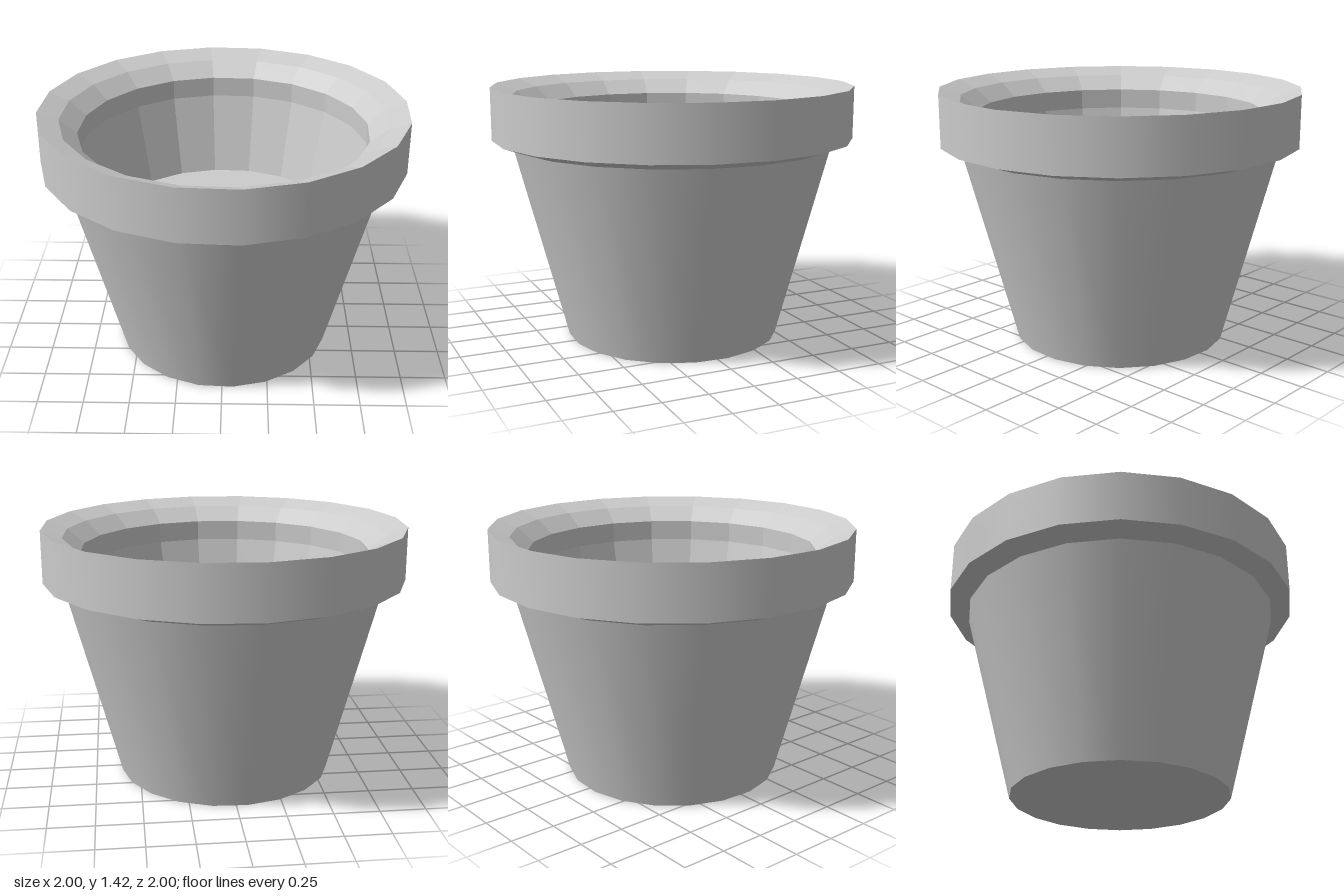
import * as THREE from 'three';

const SIDES = 20;
const TURN = THREE.MathUtils.degToRad(5.7);

export function createModel() {
  const group = new THREE.Group();
  const smooth = new THREE.MeshStandardMaterial({ color: 0xcccccc });
  const flat = new THREE.MeshStandardMaterial({ color: 0xcccccc, flatShading: true });

  // Ring surface turned from a short [radius, height] profile
  const ring = (name, material, ...profile) => {
    const points = profile.map(([r, y]) => new THREE.Vector2(r, y));
    const mesh = new THREE.Mesh(new THREE.LatheGeometry(points, SIDES, TURN), material);
    mesh.name = name;
    group.add(mesh);
  };

  // Outside, from the base upwards
  ring('base', flat, [0, 0], [0.603, 0]);
  ring('outerWall', smooth, [0.603, 0], [0.89, 1.09]);
  ring('rimUnderside', flat, [0.89, 1.09], [1.004, 1.13]);
  ring('rimBand', smooth, [1.004, 1.13], [1.004, 1.42]);

  // Inside, from the rim down to the soil
  ring('rimTop', flat, [1.004, 1.42], [0.89, 1.375], [0.795, 1.295]);
  ring('innerWall', flat, [0.795, 1.295], [0.795, 1.18], [0.685, 0.72]);
  ring('soil', flat, [0.685, 0.72], [0, 0.72]);

  return group;
}
